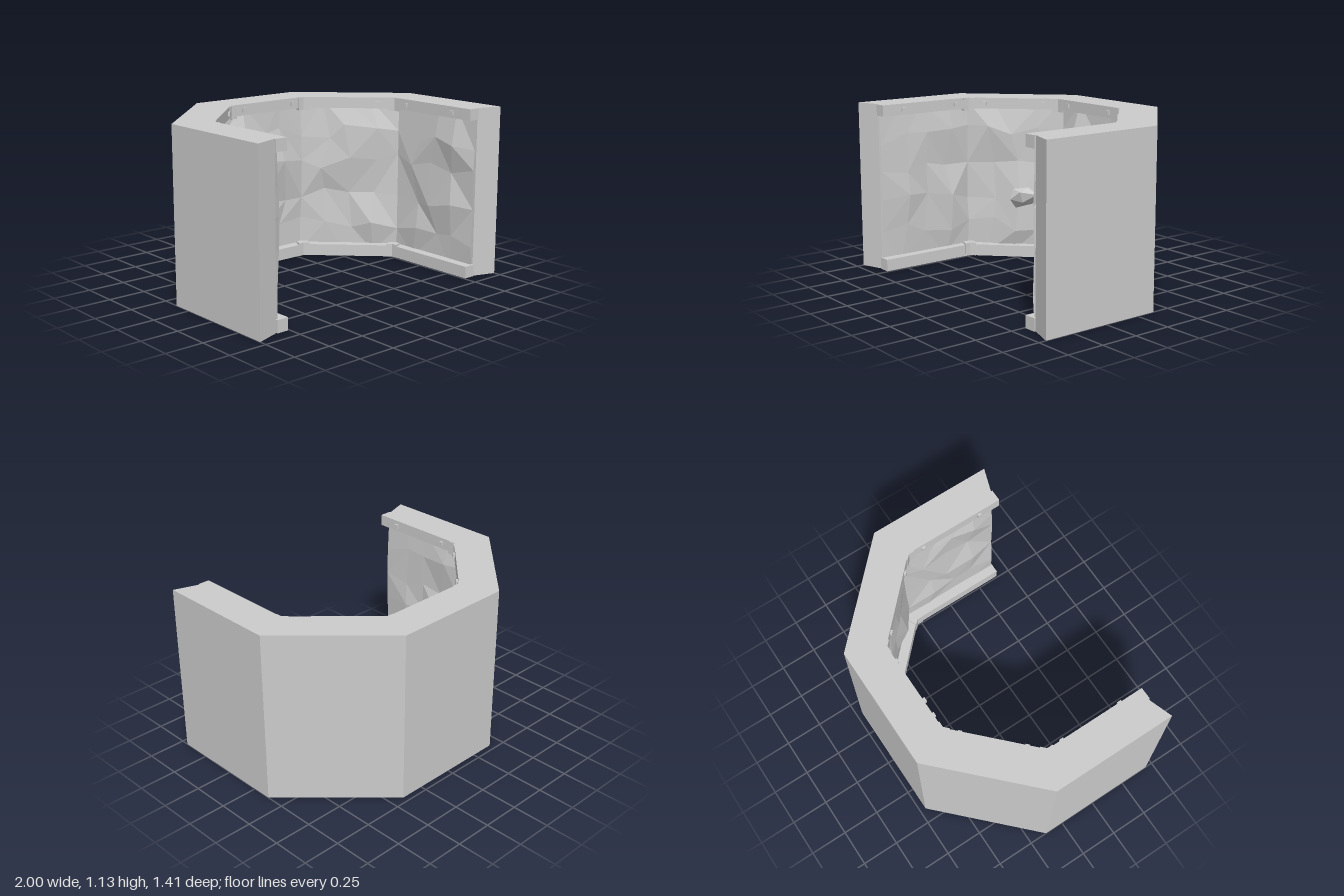
import * as THREE from 'three';

const H = 1.13;
const mat = new THREE.MeshStandardMaterial({ color: 0xcccccc, flatShading: true });
const rockMat = new THREE.MeshStandardMaterial({ color: 0xcccccc, flatShading: true, side: THREE.DoubleSide });

// U-shaped plan line, d outward from the inner face of the rails, as [x, z]
function plan(d, endZ) {
  const k = d * Math.tan(Math.PI / 8);
  const half = [[0.31 + k, -0.47 - d], [0.76 + d, -0.03 - k], [0.76 + d, endZ]];
  return [...half.map(([x, z]) => [-x, z]).reverse(), ...half];
}

// Upright prism over a closed plan outline
function prism(name, points, y, height) {
  const shape = new THREE.Shape(points.map(([x, z]) => new THREE.Vector2(x, -z)));
  const geo = new THREE.ExtrudeGeometry(shape, { depth: height, bevelEnabled: false });
  geo.rotateX(-Math.PI / 2);
  const mesh = new THREE.Mesh(geo, mat);
  mesh.name = name;
  mesh.position.y = y;
  return mesh;
}

const band = (a, b) => [...a, ...b.slice().reverse()];

function seeded(seed) {
  return () => {
    seed = (seed * 16807) % 2147483647;
    return seed / 2147483647;
  };
}

// Faceted rock lining: a jittered grid over the five wall panels
function rockLining() {
  const rand = seeded(4711);
  const base = plan(0.07, 0.645);
  const rows = 5, perPanel = [4, 4, 4, 4, 4];
  const columns = [];
  for (let p = 0; p < 5; p++) {
    const [ax, az] = base[p], [bx, bz] = base[p + 1];
    const len = Math.hypot(bx - ax, bz - az);
    const ux = (bx - ax) / len, uz = (bz - az) / len;
    const n = perPanel[p];
    for (let i = p ? 1 : 0; i <= n; i++) {
      const edge = i === 0 || i === n;
      const column = [];
      for (let j = 0; j <= rows; j++) {
        const rim = j === 0 || j === rows;
        const push = rim ? 0 : (edge ? 0.02 : 0.055) * rand();
        const slide = edge ? 0 : (rand() - 0.5) * 0.5 * len / n;
        const lift = rim ? 0 : (rand() - 0.5) * 0.11;
        const s = i * len / n + slide;
        // Inward is to the right of the walking direction
        column.push([
          ax + ux * s - uz * push,
          0.02 + 1.09 * j / rows + lift,
          az + uz * s + ux * push,
        ]);
      }
      columns.push(column);
    }
  }
  const pos = [];
  for (let i = 0; i < columns.length - 1; i++) {
    for (let j = 0; j < rows; j++) {
      const a = columns[i][j], b = columns[i + 1][j];
      const c = columns[i + 1][j + 1], d = columns[i][j + 1];
      const tris = rand() < 0.5 ? [a, b, c, a, c, d] : [a, b, d, b, c, d];
      tris.forEach((v) => pos.push(...v));
    }
  }
  const geo = new THREE.BufferGeometry();
  geo.setAttribute('position', new THREE.Float32BufferAttribute(pos, 3));
  geo.computeVertexNormals();
  const mesh = new THREE.Mesh(geo, rockMat);
  mesh.name = 'rockLining';
  return mesh;
}

function box(name, w, h, d, x, y, z, turn = 0) {
  const mesh = new THREE.Mesh(new THREE.BoxGeometry(w, h, d), mat);
  mesh.name = name;
  mesh.position.set(x, y, z);
  mesh.rotation.y = turn;
  return mesh;
}

// Boulder bulging out of the right diagonal wall
function boulder() {
  const geo = new THREE.IcosahedronGeometry(1, 0);
  const p = geo.attributes.position;
  const v = new THREE.Vector3();
  for (let i = 0; i < p.count; i++) {
    v.fromBufferAttribute(p, i);
    const r = 1 + 0.15 * Math.sin(5 * v.x + 3 * v.y + 7 * v.z);
    p.setXYZ(i, v.x * r, v.y * r, v.z * r);
  }
  geo.scale(0.11, 0.075, 0.085);
  geo.computeVertexNormals();
  const mesh = new THREE.Mesh(geo, mat);
  mesh.name = 'boulder';
  mesh.position.set(-0.5, 0.437, -0.305);
  mesh.rotation.set(0, Math.PI / 4, 0.2);
  return mesh;
}

// Short angled bracket wrapped around plan corner i
function bracket(i, y, height) {
  const strip = (d) => {
    const pts = plan(d, 0.65);
    const c = pts[i];
    const toward = (q) => {
      const l = Math.hypot(q[0] - c[0], q[1] - c[1]);
      return [c[0] + (q[0] - c[0]) * 0.042 / l, c[1] + (q[1] - c[1]) * 0.042 / l];
    };
    return [toward(pts[i - 1]), c, toward(pts[i + 1])];
  };
  return prism('cornerBracket', band(strip(0.05), strip(-0.006)), y, height);
}

export function createModel() {
  const group = new THREE.Group();

  // Thick outer wall with slanted ends
  group.add(prism('outerWall', band(plan(0.24, 0.70), plan(0.08, 0.645)), 0, H));
  group.add(rockLining());

  // Rails with brackets along the foot and the top
  const railPlan = band(plan(0.08, 0.655), plan(0, 0.655));
  group.add(prism('bottomRail', railPlan, 0, 0.08));
  group.add(prism('topRail', railPlan, H - 0.075, 0.075));
  for (let i = 1; i <= 4; i++) {
    group.add(bracket(i, 0.001, 0.092));
    group.add(bracket(i, H - 0.09, 0.089));
  }

  // Square bolts on the top rail
  const bolts = [[0.205, -0.469, 0], [0.385, -0.397, -Math.PI / 4], [0.675, -0.113, -Math.PI / 4],
    [0.759, 0.08, -Math.PI / 2], [0.759, 0.5, -Math.PI / 2]];
  for (const side of [-1, 1]) {
    for (const [x, z, turn] of bolts) {
      group.add(box('bolt', 0.026, 0.028, 0.026, side * x, 1.092, z, side * turn));
    }
  }

  // Peg on the back wall
  group.add(box('peg', 0.03, 0.03, 0.14, 0, 0.78, -0.475));
  group.add(boulder());
  return group;
}
